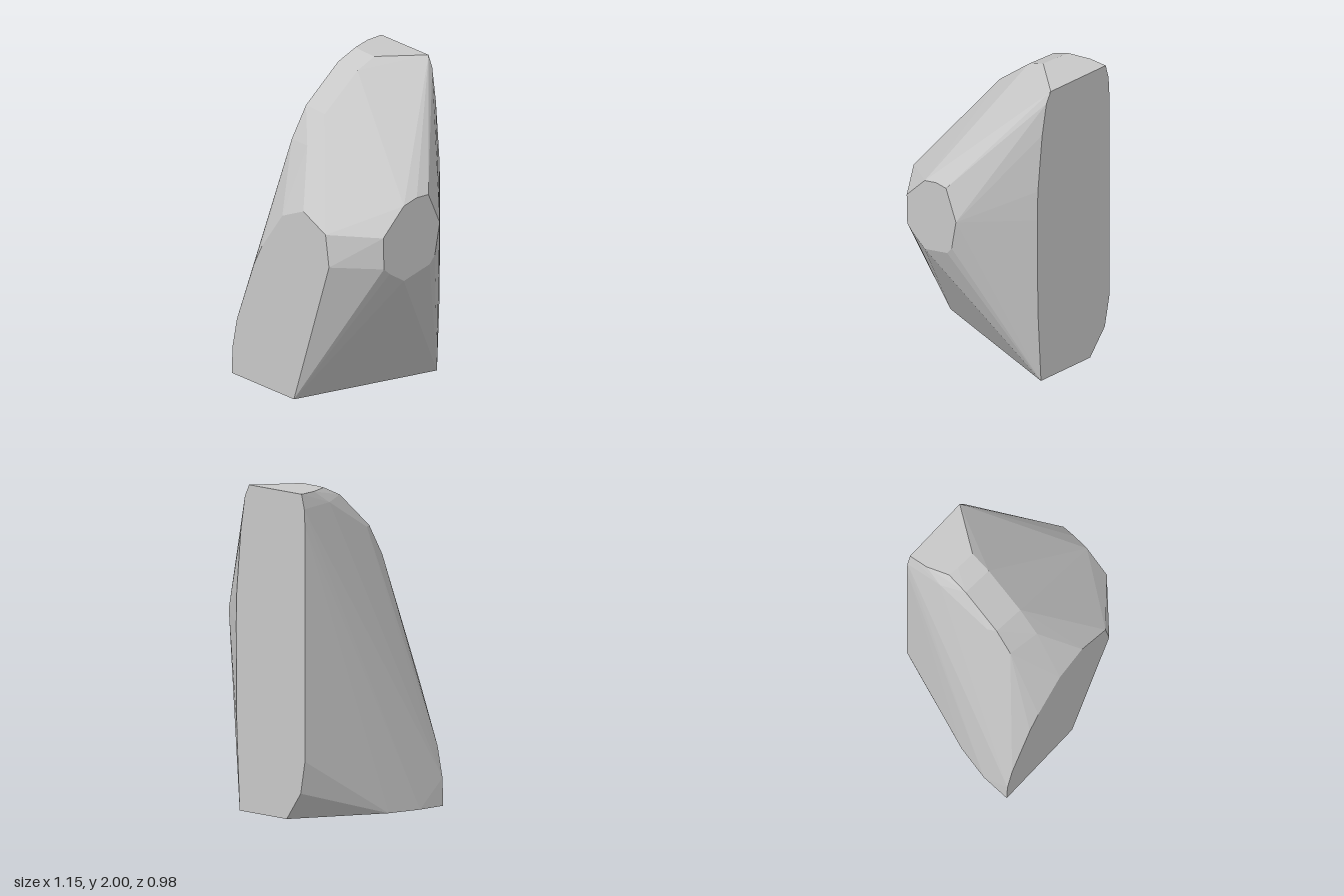
import * as THREE from 'three';
import { ConvexGeometry } from 'three/addons/geometries/ConvexGeometry.js';

// Outlines of the flat cuts that shape the boulder
const frontCut = [[-0.578, 0], [0.01, 0], [0.343, 0.94], [0.31, 1.14], [0.1, 1.23],
  [-0.1, 1.145], [-0.295, 0.89], [-0.37, 0.755], [-0.53, 0.36], [-0.572, 0.17]]; // x, y
const backCut = [[0.17, 0], [0.195, 0.5], [0.2, 1.14], [0.195, 1.34], [0.16, 1.72], [0.125, 1.93],
  [0.09, 2], [-0.357, 2], [-0.38, 1.91], [-0.386, 1.8], [-0.386, 0.37], [-0.35, 0.17], [-0.23, 0]]; // x, y
const sideCut = [[0.26, 1.14], [0.1, 1.31], [0, 1.34], [-0.09, 1.34], [-0.178, 1.14],
  [-0.14, 0.94], [-0.1, 0.89], [0.1, 0.83], [0.21, 0.9], [0.255, 0.94]]; // z, y
const topCut = [[-0.095, -0.22], [-0.22, -0.225], [-0.29, -0.235], [-0.342, -0.37]]; // x, z
const baseCut = [[-0.525, 0.08], [-0.572, 0.3]]; // x, z

// Ridge running down from the summit to the front, and its left shoulder
const ridge = [[-0.095, 1.94, -0.09], [-0.095, 1.72, 0.165], [-0.095, 1.55, 0.3],
  [-0.29, 1.94, -0.1], [-0.29, 1.72, 0.15], [-0.29, 1.53, 0.26], [-0.32, 1.72, 0.1]];
const shoulder = [[-0.353, 1.92, -0.25], [-0.36, 1.72, -0.1]];

export function createModel() {
  const group = new THREE.Group();
  group.name = 'boulder';
  const v = (x, y, z) => new THREE.Vector3(x, y, z);
  const points = [
    ...frontCut.map(([x, y]) => v(x, y, 0.49)),
    ...backCut.map(([x, y]) => v(x, y, -0.49)),
    ...sideCut.map(([z, y]) => v(0.577, y, z)),
    ...topCut.map(([x, z]) => v(x, 2, z)),
    ...baseCut.map(([x, z]) => v(x, 0, z)),
    ...[...ridge, ...shoulder].map((p) => v(...p)),
  ];
  const stone = new THREE.MeshStandardMaterial({ color: 0xc8c8c8, flatShading: true });
  stone.name = 'stone grey';
  const rock = new THREE.Mesh(new ConvexGeometry(points), stone);
  rock.name = 'rock';
  group.add(rock);
  return group;
}
